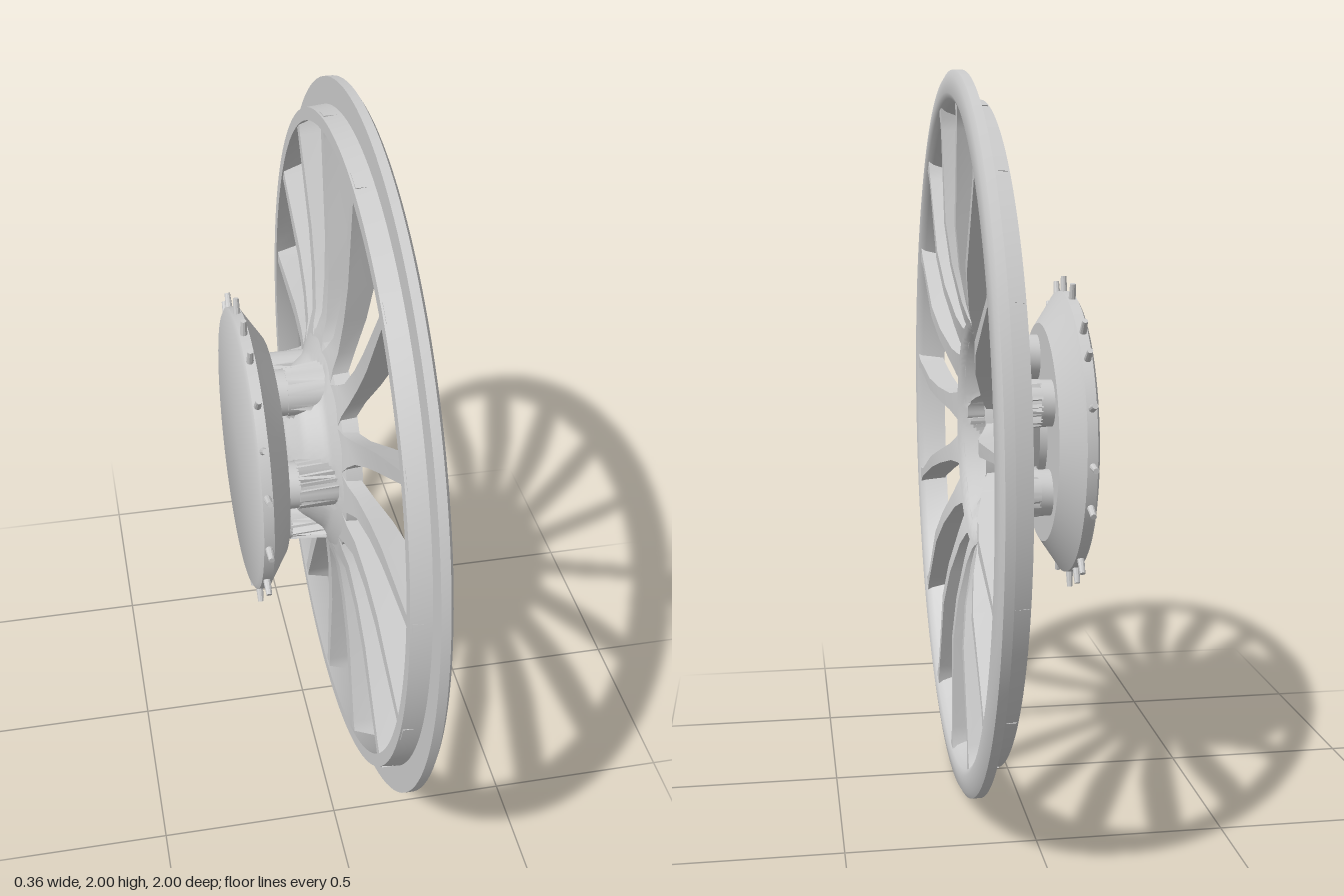
import * as THREE from 'three';
import { toCreasedNormals } from 'three/addons/utils/BufferGeometryUtils.js';

// Built with the axle along local z (outer face at +z), then turned to face +x.
const metal = new THREE.MeshStandardMaterial({ color: 0xcccccc });
metal.name = 'silver metal';

const RAD = Math.PI / 180;
const lugAngles = [0, 1, 2, 3, 4].map((i) => (31 + 72 * i) * RAD);
const LUG_R = 0.215;

function add(parent, name, geometry, crease = 0.6) {
  const mesh = new THREE.Mesh(toCreasedNormals(geometry, crease), metal);
  mesh.name = name;
  parent.add(mesh);
  return mesh;
}

// Profile of [radius, z] pairs, running counter-clockwise, spun about z.
function lathe(profile, segments) {
  const points = profile.map(([r, z]) => new THREE.Vector2(r, z));
  return new THREE.LatheGeometry(points, segments).rotateX(Math.PI / 2);
}

function cylinder(radius, z0, z1, segments = 32) {
  return new THREE.CylinderGeometry(radius, radius, z1 - z0, segments)
    .rotateX(Math.PI / 2).translate(0, 0, (z0 + z1) / 2);
}

// Linear interpolation through a table of [radius, z].
function sample(table, r) {
  let i = 1;
  while (i < table.length - 1 && table[i][0] < r) i++;
  const [r0, z0] = table[i - 1], [r1, z1] = table[i];
  return z0 + (z1 - z0) * (r - r0) / (r1 - r0);
}

// Concave hub shell with five round pockets pressed into it.
function hubGeometry() {
  const front = [[0, -0.04], [0.13, -0.036], [0.16, -0.025], [0.2, 0], [0.26, 0.06], [0.295, 0.097], [0.315, 0.105]];
  const back = [[0, -0.07], [0.14, -0.07], [0.2, -0.03], [0.25, 0.03], [0.315, 0.06]];
  const N = 42, profile = [];
  for (let i = 0; i <= N; i++) profile.push([0.315 * i / N, sample(back, 0.315 * i / N)]);
  for (let i = N; i >= 0; i--) profile.push([0.315 * i / N, sample(front, 0.315 * i / N)]);
  const geometry = lathe(profile, 180);
  const p = geometry.attributes.position;
  for (let i = 0; i < p.count; i++) {
    const isFront = i % profile.length > N;
    const radius = isFront ? 0.058 : 0.066, floor = isFront ? -0.05 : -0.06;
    for (const a of lugAngles) {
      const cx = LUG_R * Math.cos(a), cy = LUG_R * Math.sin(a);
      const dx = p.getX(i) - cx, dy = p.getY(i) - cy, d = Math.hypot(dx, dy);
      if (d < radius) p.setZ(i, Math.min(p.getZ(i), floor));
      // Pull nearby vertices onto the circle for a clean edge.
      if (Math.abs(d - radius) < 0.006) {
        p.setX(i, cx + dx * radius / d);
        p.setY(i, cy + dy * radius / d);
      }
    }
  }
  return geometry;
}

// Bent spoke along +x, lofted from four-cornered sections.
function spokeGeometry() {
  // radius, back z, front z, back half-width, front half-width
  const sections = [
    [0.285, 0.05, 0.088, 0.062, 0.06],
    [0.325, 0.06, 0.108, 0.043, 0.039],
    [0.37, 0.074, 0.122, 0.031, 0.026],
    [0.48, 0.084, 0.146, 0.026, 0.02],
    [0.6, 0.088, 0.16, 0.024, 0.018],
    [0.86, 0.085, 0.162, 0.016, 0.012],
    [0.89, 0.085, 0.163, 0.019, 0.015],
    [0.925, 0.085, 0.164, 0.03, 0.025],
  ];
  const rings = sections.map(([r, zb, zf, wb, wf]) =>
    [[r, -wb, zb], [r, wb, zb], [r, wf, zf], [r, -wf, zf]]);
  const positions = [];
  for (let i = 0; i < rings.length - 1; i++) {
    for (let k = 0; k < 4; k++) {
      const n = (k + 1) % 4;
      const a = rings[i][k], b = rings[i][n], c = rings[i + 1][n], d = rings[i + 1][k];
      positions.push(...a, ...b, ...c, ...a, ...c, ...d);
    }
  }
  const geometry = new THREE.BufferGeometry();
  geometry.setAttribute('position', new THREE.Float32BufferAttribute(positions, 3));
  return geometry;
}

// Round nut with a six-pointed socket.
function nutGeometry() {
  const shape = new THREE.Shape().absarc(0, 0, 0.045, 0, Math.PI * 2);
  const socket = [];
  for (let i = 0; i < 12; i++) {
    const r = i % 2 ? 0.023 : 0.034, a = i * Math.PI / 6;
    socket.push(new THREE.Vector2(r * Math.cos(a), r * Math.sin(a)));
  }
  shape.holes.push(new THREE.Path(socket));
  return new THREE.ExtrudeGeometry(shape, {
    depth: 0.042, curveSegments: 20, bevelEnabled: true,
    bevelSize: 0.003, bevelThickness: 0.003, bevelSegments: 1,
  });
}

export function createModel() {
  const model = new THREE.Group();
  model.name = 'wheel';
  const wheel = new THREE.Group();
  wheel.name = 'wheelAssembly';
  wheel.rotation.y = Math.PI / 2;
  wheel.position.y = 1;
  model.add(wheel);

  // Outer ring: flat face flange with a short barrel behind it
  add(wheel, 'rim', lathe([
    [0.887, 0.08], [0.922, 0.08], [0.927, 0.133], [1, 0.133], [1, 0.157],
    [0.985, 0.166], [0.94, 0.172], [0.924, 0.165], [0.912, 0.15], [0.887, 0.08],
  ], 120));

  // Fifteen spokes, one pointing straight down
  const spokes = new THREE.Group();
  spokes.name = 'spokes';
  wheel.add(spokes);
  const spoke = spokeGeometry();
  for (let i = 0; i < 15; i++) {
    add(spokes, 'spoke', spoke, 0.35).rotation.z = (-90 + 24 * i) * RAD;
  }

  // Hub bowl, centre cap and column
  add(wheel, 'hubBowl', hubGeometry());
  add(wheel, 'centreCap', lathe([[0, -0.05], [0.112, -0.05], [0.112, -0.03], [0.106, -0.026], [0, -0.026]], 48));
  add(wheel, 'hubColumn', cylinder(0.13, -0.1, -0.065, 40));

  // Lug nuts in the pockets and posts behind them
  const nut = nutGeometry();
  for (const a of lugAngles) {
    const lug = new THREE.Group();
    lug.name = 'lug';
    lug.position.set(LUG_R * Math.cos(a), LUG_R * Math.sin(a), 0);
    lug.rotation.z = a;
    wheel.add(lug);
    add(lug, 'lugNut', nut).position.z = -0.049;
    add(lug, 'lugPost', cylinder(0.064, -0.1, -0.056));
  }

  // Rear mounting disc
  add(wheel, 'rearDisc', lathe([
    [0, -0.185], [0.385, -0.185], [0.398, -0.178], [0.398, -0.15],
    [0.385, -0.142], [0.31, -0.092], [0, -0.092],
  ], 80), 0.5);

  // Small pins around the disc edge
  const pins = new THREE.Group();
  pins.name = 'discPins';
  wheel.add(pins);
  const pin = new THREE.CylinderGeometry(0.008, 0.011, 0.06, 10).rotateZ(-Math.PI / 2).translate(0.41, 0, -0.165);
  for (const deg of [-21, -4, 18, 38, 51, 76, 94, 109, 128, 145, 163, 186, 209, 238, 257, 282, 297, 308]) {
    add(pins, 'discPin', pin).rotation.z = deg * RAD;
  }
  return model;
}
